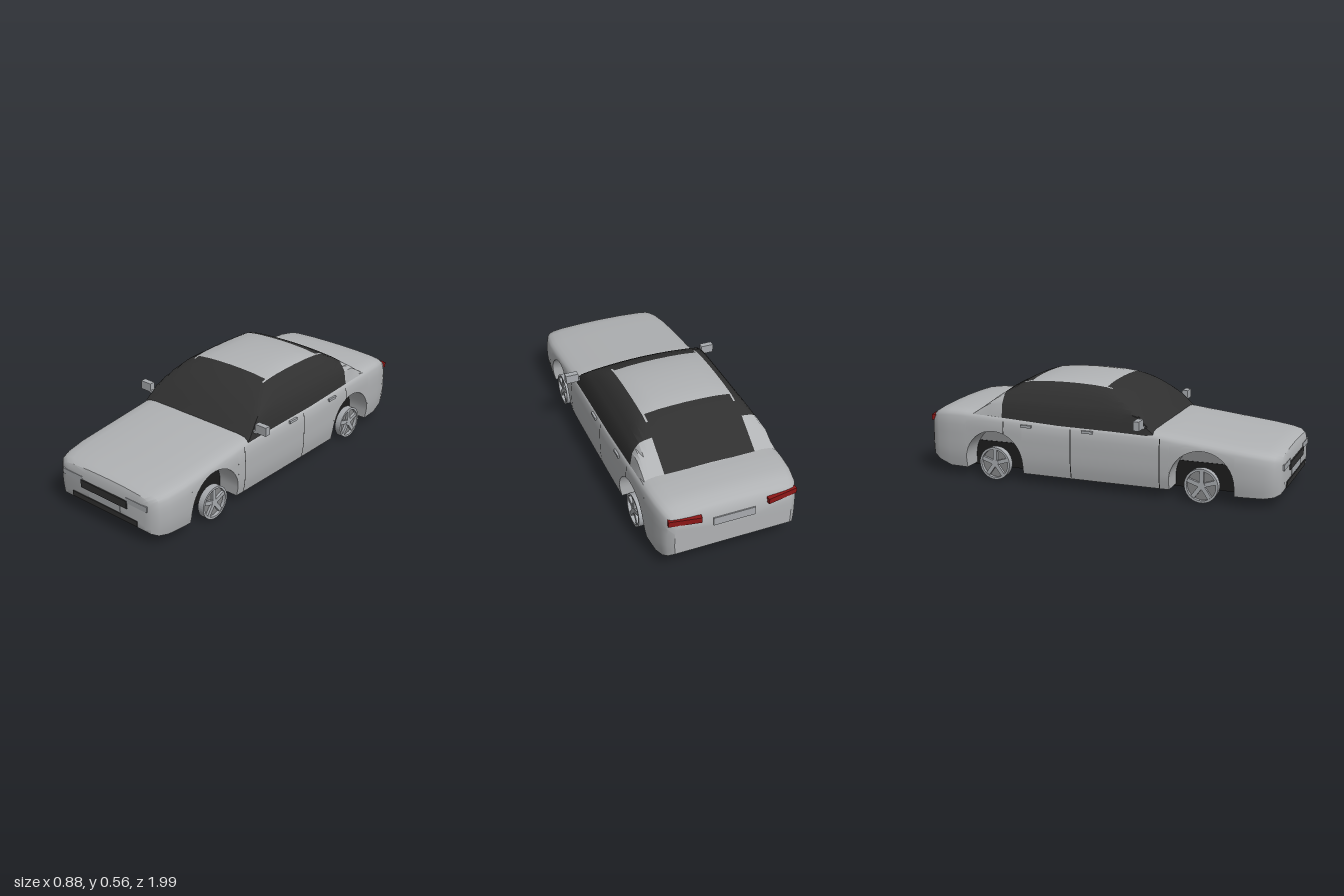
import * as THREE from 'three';
import { toCreasedNormals } from 'three/addons/utils/BufferGeometryUtils.js';

const mat = (name, color, extra = {}) => Object.assign(new THREE.MeshStandardMaterial({ color, ...extra }), { name });

// Linear interpolation in rows [key, a, b, ...] sorted by key, descending
function sample(rows, k, col) {
  if (k >= rows[0][0]) return rows[0][col];
  for (let i = 1; i < rows.length; i++) {
    if (k >= rows[i][0]) {
      const [p, q] = [rows[i - 1], rows[i]];
      return q[col] + (p[col] - q[col]) * (k - q[0]) / (p[0] - q[0]);
    }
  }
  return rows[rows.length - 1][col];
}

// Skin over rings of points running front to back; pick(i, j) gives the material index
function loft(rings, closed, pick = () => 0) {
  const n = rings[0].length, lists = [[], []], pos = rings.flat(2);
  for (let i = 0; i < rings.length - 1; i++) {
    for (let j = 0; j < (closed ? n : n - 1); j++) {
      const a = i * n + j, b = i * n + (j + 1) % n;
      lists[pick(i, j)].push(a, a + n, b + n, a, b + n, b);
    }
  }
  if (closed) {
    [[0, 1], [rings.length - 1, -1]].forEach(([r, dir]) => {
      const ring = rings[r], c = pos.length / 3;
      const ys = ring.map(p => p[1]);
      pos.push(0, (Math.min(...ys) + Math.max(...ys)) / 2, ring[0][2]);
      for (let j = 0; j < n; j++) {
        const a = r * n + j, b = r * n + (j + 1) % n;
        lists[0].push(c, ...(dir > 0 ? [a, b] : [b, a]));
      }
    });
  }
  const g = new THREE.BufferGeometry();
  g.setAttribute('position', new THREE.Float32BufferAttribute(pos, 3));
  g.setIndex(lists.flat());
  g.addGroup(0, lists[0].length, 0);
  g.addGroup(lists[0].length, lists[1].length, 1);
  return toCreasedNormals(g, 0.6);
}

// Lower body: z, half width, bottom, top
const BODY = [
  [0.987, 0.28, 0.085, 0.245], [0.977, 0.315, 0.07, 0.268], [0.95, 0.345, 0.058, 0.282],
  [0.9, 0.362, 0.05, 0.29], [0.8, 0.374, 0.05, 0.302], [0.33, 0.38, 0.05, 0.353],
  [0.1, 0.381, 0.05, 0.357], [-0.2, 0.381, 0.05, 0.36], [-0.62, 0.379, 0.05, 0.378],
  [-0.76, 0.376, 0.05, 0.382], [-0.85, 0.37, 0.05, 0.38], [-0.92, 0.357, 0.075, 0.372],
  [-0.96, 0.34, 0.1, 0.35], [-0.982, 0.31, 0.12, 0.315],
];
const AXLES = [0.585, -0.575], ARCH_R = 0.17, ARCH_Y = 0.1;

function sideX(y, z) {
  const w = sample(BODY, z, 1), top = sample(BODY, z, 3);
  const low = Math.max(0, (0.17 - y) / 0.12), high = Math.max(0, (y - top + 0.1) / 0.055);
  return w - 0.015 * low * low - 0.006 * Math.min(1, high) ** 2;
}

function bodyRing(z, low) {
  const w = sample(BODY, z, 1), top = sample(BODY, z, 3), half = [];
  half.push([0, low], [sideX(low, z) * 0.6, low]);
  for (let k = 0; k <= 6; k++) {
    const y = low + (top - 0.045 - low) * k / 6;
    half.push([sideX(y, z), y]);
  }
  half.push([w - 0.012, top - 0.032], [w - 0.024, top - 0.022], [w - 0.045, top - 0.014],
    [w - 0.09, top - 0.008], [w * 0.4, top - 0.002], [0, top]);
  const mirrored = half.slice(1, -1).reverse().map(([x, y]) => [-x, y]);
  return [...half, ...mirrored].map(([x, y]) => [x, y, z]);
}

function bodyGeometry() {
  const stations = BODY.map(r => [r[0], r[2]])
    .filter(([z]) => AXLES.every(c => Math.abs(z - c) > ARCH_R + 0.005));
  for (const c of AXLES) {
    const arch = [[c + ARCH_R, 0.05]];
    for (let k = 0; k <= 18; k++) {
      const a = Math.PI * k / 18;
      arch.push([c + ARCH_R * Math.cos(a), ARCH_Y + ARCH_R * Math.sin(a)]);
    }
    arch.push([c - ARCH_R, 0.05]);
    const at = stations.findIndex(([z]) => z < c);
    stations.splice(at, 0, ...arch);
  }
  return loft(stations.map(([z, low]) => bodyRing(z, low)), true);
}

// Cabin: roof line along z, limited by the side curve across x
const ROOF = [
  [0.35, 0.335], [0.33, 0.352], [0.29, 0.39], [0.25, 0.427], [0.2, 0.466], [0.15, 0.498], [0.1, 0.523],
  [0.06, 0.539], [0.03, 0.547], [-0.04, 0.557], [-0.12, 0.563], [-0.2, 0.565], [-0.3, 0.562],
  [-0.4, 0.552], [-0.45, 0.537], [-0.53, 0.497], [-0.6, 0.45], [-0.66, 0.408], [-0.7, 0.382], [-0.74, 0.36],
];
const CABIN_SIDE = [[0.368, 0.32], [0.36, 0.36], [0.35, 0.42], [0.3, 0.505], [0.24, 0.56], [0.2, 0.61], [0, 0.85]];

function cabinGeometry() {
  const half = [0.368, 0.36, 0.35, 0.335, 0.315, 0.29, 0.265, 0.245, 0.235, 0.16, 0.08, 0];
  const xs = [...half, ...half.slice(0, -1).reverse().map(x => -x)];
  const rings = ROOF.map(([z, h]) => xs.map(x => {
    const side = sample(CABIN_SIDE, Math.abs(x), 1) - 0.31;
    const roof = Math.max(0.004, h - 0.012 * (x / 0.24) ** 2 - 0.31);
    return [x, 0.31 + (side ** -14 + roof ** -14) ** (-1 / 14), z];
  }));
  // 0 = painted panel, 1 = glass
  return loft(rings, false, (i, j) => {
    const z = (ROOF[i][0] + ROOF[i + 1][0]) / 2, x = Math.abs(xs[j] + xs[j + 1]) / 2;
    if (x > 0.245) return z > -0.53 ? 1 : 0;
    if (x > 0.235) return (z > 0.06 || z < -0.45) && z > -0.7 ? 1 : 0;
    return (z > 0.03 || z < -0.4) && z > -0.7 ? 1 : 0;
  });
}

export function createModel() {
  const car = new THREE.Group();
  car.name = 'car';
  const paint = mat('body paint', 0xb0b2b4);
  const trim = mat('light trim', 0xa8abaf);
  const glass = mat('dark glass', 0x303030);
  const black = mat('underbody black', 0x1c1c1c, { side: THREE.DoubleSide });
  const well = mat('wheel well grey', 0x858688);
  const red = mat('tail light red', 0x8c1616);

  const add = (name, geo, material, x = 0, y = 0, z = 0, parent = car) => {
    const m = new THREE.Mesh(geo, material);
    m.name = name;
    m.position.set(x, y, z);
    parent.add(m);
    return m;
  };
  const box = (name, w, h, d, material, x, y, z, parent) =>
    add(name, new THREE.BoxGeometry(w, h, d), material, x, y, z, parent);

  add('body', bodyGeometry(), [paint, paint]);
  add('cabin', cabinGeometry(), [paint, glass]);
  box('underbody', 0.506, 0.14, 1.59, black, 0, 0.11, 0.005);

  // Front and rear details
  box('upperGrille', 0.322, 0.042, 0.01, glass, 0, 0.181, 0.989);
  box('lowerGrille', 0.456, 0.03, 0.01, glass, 0, 0.1, 0.987);
  box('frontPlate', 0.22, 0.04, 0.008, trim, 0, 0.138, 0.986);
  box('rearPlate', 0.22, 0.045, 0.01, trim, 0, 0.265, -0.983);

  // Wheel: rim, recessed disc, hub and five spokes, facing +x
  const ringShape = new THREE.Shape().absarc(0, 0, 0.089, 0, Math.PI * 2);
  ringShape.holes.push(new THREE.Path().absarc(0, 0, 0.077, 0, Math.PI * 2, true));
  const rimGeo = new THREE.ExtrudeGeometry(ringShape, { depth: 0.036, bevelEnabled: false, curveSegments: 20 });
  const discGeo = new THREE.CylinderGeometry(0.08, 0.08, 0.008, 32).rotateX(Math.PI / 2);
  const hubGeo = new THREE.CylinderGeometry(0.02, 0.02, 0.026, 20).rotateX(Math.PI / 2);
  const spokeGeo = new THREE.BoxGeometry(0.022, 0.066, 0.014).translate(0, 0.046, 0);
  const makeWheel = () => {
    const wheel = new THREE.Group();
    wheel.name = 'wheel';
    add('rim', rimGeo, trim, 0, 0, -0.018, wheel);
    add('wheelDisc', discGeo, well, 0, 0, -0.004, wheel);
    add('hub', hubGeo, trim, 0, 0, 0.002, wheel);
    for (let k = 0; k < 5; k++) {
      add('spoke', spokeGeo, trim, 0, 0, 0.007, wheel).rotation.z = k * Math.PI * 2 / 5;
    }
    return wheel;
  };

  for (const z of AXLES) {
    const geo = new THREE.CylinderGeometry(ARCH_R, ARCH_R, 0.5, 24, 1, false, 0, Math.PI).rotateZ(Math.PI / 2);
    add('wheelWell', geo, well, 0, ARCH_Y, z);
  }

  for (const s of [1, -1]) {
    for (const z of AXLES) {
      const wheel = makeWheel();
      wheel.position.set(s * 0.352, 0.089, z);
      wheel.rotation.y = s * Math.PI / 2;
      car.add(wheel);
    }
    box('headlight', 0.14, 0.03, 0.009, trim, s * 0.225, 0.205, 0.985);
    box('tailLight', 0.165, 0.03, 0.024, red, s * 0.256, 0.308, -0.974).rotation.y = s * -0.17;
    box('mirror', 0.07, 0.048, 0.032, trim, s * 0.406, 0.385, 0.262);
    box('mirrorArm', 0.03, 0.014, 0.02, trim, s * 0.365, 0.363, 0.268);
    for (const z of [-0.03, -0.38]) box('doorHandle', 0.012, 0.014, 0.062, trim, s * 0.379, 0.314, z);

    // Door seams hug the body side
    for (const [z, low, high] of [[0.365, 0.055, 0.315], [-0.125, 0.055, 0.32], [-0.515, 0.262, 0.33]]) {
      const geo = new THREE.PlaneGeometry(0.005, high - low, 1, 10).rotateY(Math.PI / 2);
      const p = geo.attributes.position;
      for (let i = 0; i < p.count; i++) {
        const y = p.getY(i) + (low + high) / 2;
        p.setXYZ(i, s * (sideX(y, z) + 0.0012), y, p.getZ(i) + z);
      }
      geo.computeVertexNormals();
      add('doorSeam', geo, black);
    }
  }
  return car;
}
